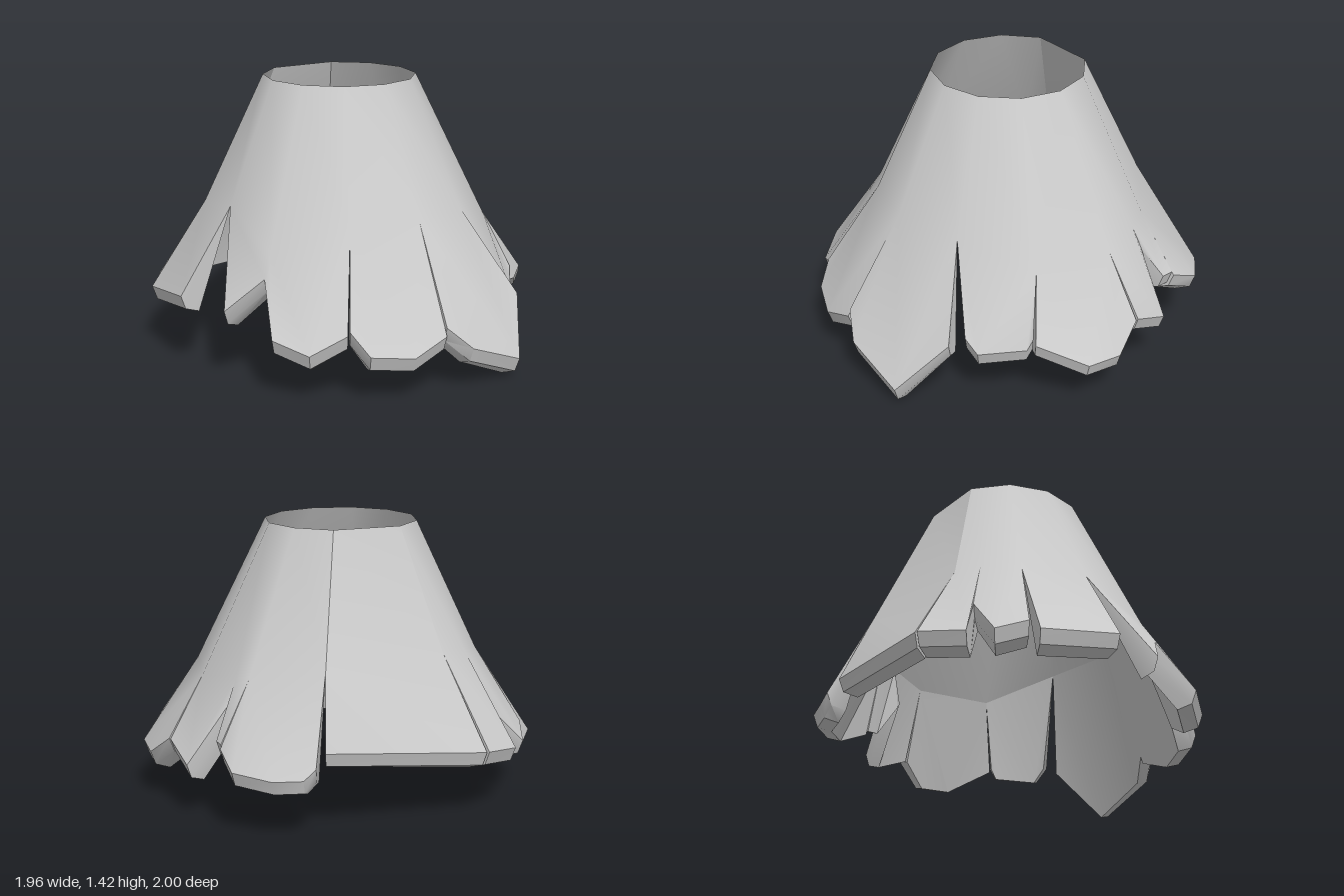
import * as THREE from 'three';
import { mergeVertices, toCreasedNormals } from 'three/addons/utils/BufferGeometryUtils.js';

const V = (x, z, y) => new THREE.Vector3(x, y, z);

// Shoulders: the tops of the slits between flaps, counter-clockwise seen from above
const shoulders = [
  V(-0.59, -0.25, 0.80), V(-0.67, -0.12, 0.80), V(-0.70, 0.08, 0.76), V(-0.53, 0.40, 0.81),
  V(-0.31, 0.69, 0.65), V(0.08, 0.68, 0.78), V(0.41, 0.56, 0.80), V(0.63, 0.27, 0.77),
  V(0.76, -0.11, 0.66), V(0.60, -0.48, 0.67), V(0.38, -0.61, 0.70), V(0.29, -0.67, 0.72),
  V(-0.10, -0.69, 0.78),
];

// Outer hem of each flap, from one slit to the next
const hems = {
  rightBackFlap: [V(-0.86, -0.41, 0.35), V(-0.96, -0.18, 0.31), V(-0.80, -0.15, 0.52)],
  rightFlap: [V(-0.80, -0.15, 0.52), V(-0.98, -0.05, 0.31), V(-0.94, 0.11, 0.37)],
  rightFrontFlap: [V(-0.98, 0.16, 0.31), V(-0.77, 0.54, 0.38)],
  frontShortFlap: [V(-0.53, 0.74, 0.37), V(-0.33, 0.75, 0.54)],
  frontRightFlap: [V(-0.33, 0.75, 0.54), V(-0.28, 0.95, 0.30), V(-0.10, 1.0, 0.24), V(0.08, 0.96, 0.33)],
  frontLeftFlap: [V(0.09, 0.96, 0.35), V(0.19, 1.0, 0.24), V(0.40, 0.95, 0.22), V(0.55, 0.83, 0.29)],
  longFlap: [V(0.55, 0.82, 0.33), V(0.68, 0.80, 0.22), V(0.92, 0.59, 0.095), V(0.92, 0.32, 0.35)],
  leftFlap: [V(0.87, 0.24, 0.36), V(0.91, 0.18, 0.29), V(0.91, -0.06, 0.31), V(0.91, -0.09, 0.37)],
  leftBackFlap: [V(0.96, -0.10, 0.37), V(0.98, -0.36, 0.26), V(0.88, -0.52, 0.25), V(0.74, -0.61, 0.36)],
  backLeftFlap: [V(0.73, -0.62, 0.36), V(0.59, -0.77, 0.28), V(0.40, -0.66, 0.58)],
  backSliver: [V(0.40, -0.67, 0.56), V(0.43, -0.78, 0.42), V(0.39, -0.83, 0.42)],
  backFlap: [V(0.39, -0.84, 0.40), V(0.29, -0.97, 0.33), V(0.08, -1.0, 0.31), V(-0.06, -0.95, 0.31), V(-0.11, -0.91, 0.36)],
  flatPanel: [V(-0.14, -0.85, 0.42), V(-0.85, -0.42, 0.35)],
};

// Share of a row's turn around the axis reached at each point
function turns(row) {
  const sums = [0];
  for (let i = 1; i < row.length; i++) {
    const a = row[i - 1], b = row[i];
    sums.push(sums[i - 1] + Math.atan2(a.z * b.x - a.x * b.z, a.x * b.x + a.z * b.z));
  }
  return sums.map((s) => s / sums[row.length - 1]);
}

// Triangles between an upper and a lower row, matched by angle around the axis
function zip(up, low) {
  const tris = [], n = up.length - 1, m = low.length - 1;
  const tu = turns(up), tl = turns(low);
  let i = 0, j = 0;
  while (i < n || j < m) {
    if (j < m && (i === n || tl[j] + tl[j + 1] <= tu[i] + tu[i + 1])) tris.push(up[i], low[j], low[++j]);
    else tris.push(up[i], low[j], up[++i]);
  }
  return tris;
}

// Quads between two rows with the same number of points
function strip(a, b) {
  const tris = [];
  for (let k = 0; k < a.length - 1; k++) tris.push(a[k], b[k], a[k + 1], a[k + 1], b[k], b[k + 1]);
  return tris;
}

// Move a point towards the axis and down
function inset(p, inward, down) {
  const k = 1 - inward / Math.hypot(p.x, p.z);
  return V(p.x * k, p.z * k, p.y - down);
}

const geometry = (tris) => new THREE.BufferGeometry().setFromPoints(tris);

export function createModel() {
  const group = new THREE.Group();
  group.name = 'tornSkirt';
  const material = new THREE.MeshStandardMaterial({ color: 0xcccccc, side: THREE.DoubleSide });
  const add = (name, geo) => {
    const mesh = new THREE.Mesh(geo, material);
    mesh.name = name;
    group.add(mesh);
  };

  // Open top rim: a twelve-sided ring with one corner left out above the flat panel
  const rim = [];
  for (let i = 0; i < 11; i++) {
    const a = THREE.MathUtils.degToRad(243 + i * 30.6);
    rim.push(V(0.395 * Math.sin(a), 0.395 * Math.cos(a), 1.42));
  }

  const smooth = zip(rim, shoulders);
  Object.entries(hems).forEach(([name, hem], i) => {
    const top = [shoulders[i], shoulders[(i + 1) % shoulders.length]];
    const outer = zip(top, hem);

    // Outer cloth: curved flaps share the smooth body, the flat panel stands alone
    if (name === 'flatPanel') {
      const panel = geometry([...zip([rim[10], rim[0]], top), ...outer]);
      add('flatPanelOuter', toCreasedNormals(panel, 0.4));
    } else smooth.push(...outer);

    // Rounded hem and slit walls: outer, middle and inner rows
    const middleHem = hem.map((p) => inset(p, 0.025, 0.07));
    const innerHem = hem.map((p) => inset(p, 0.1, 0.095));
    const [outside, middle, inside] = [hem, middleHem, innerHem].map((row) => [top[0], ...row, top[1]]);
    const edge = geometry([...strip(outside, middle), ...strip(middle, inside)]);
    add(name + 'Edge', toCreasedNormals(edge, 0.7));

    // Lining of the flap, tapering up to the shoulders
    add(name + 'Lining', toCreasedNormals(geometry(zip(top, innerHem).reverse()), 0.5));
  });

  // Smooth flared body with the outer faces of its flaps
  const body = mergeVertices(geometry(smooth));
  body.computeVertexNormals();
  add('body', body);
  return group;
}
